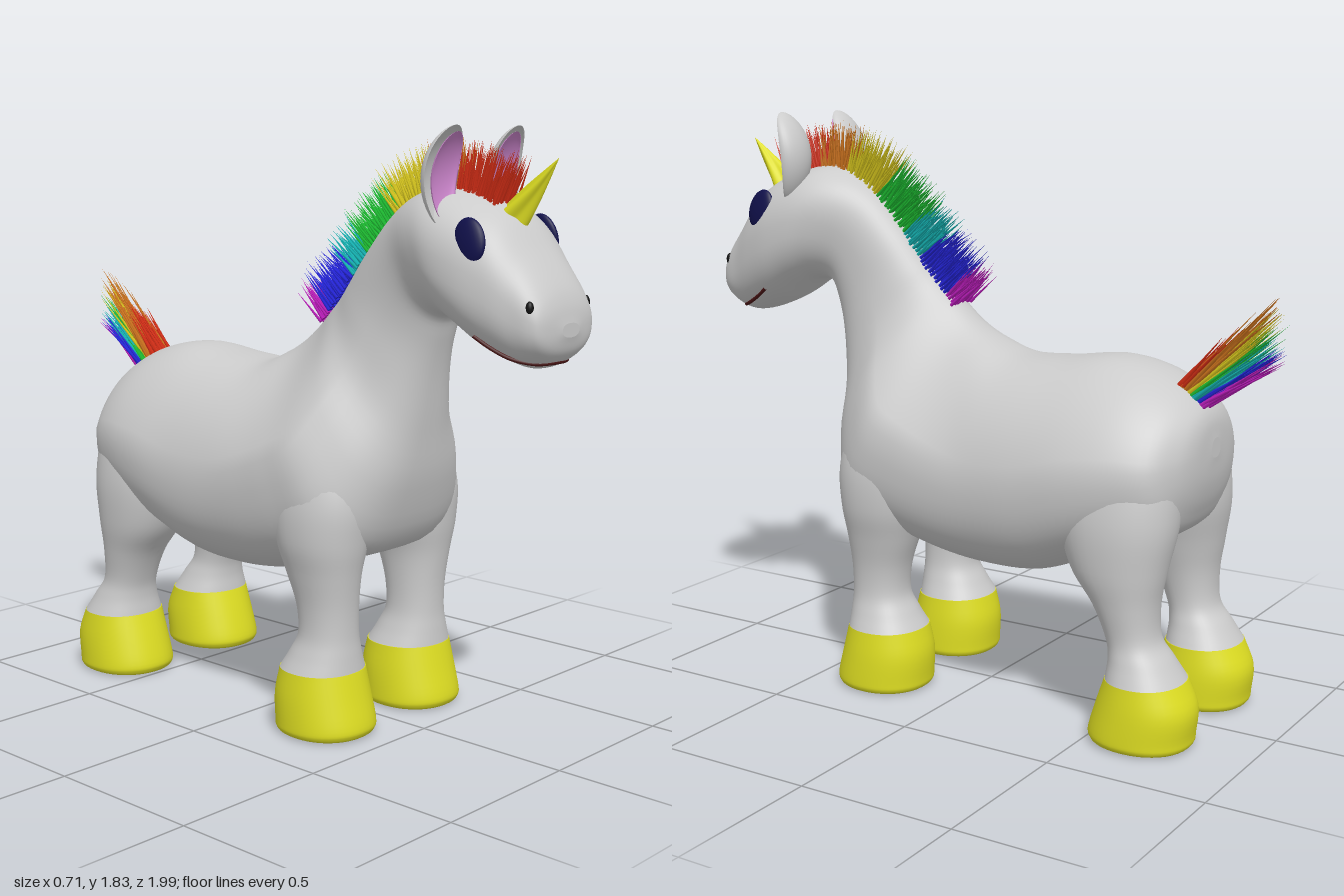
import * as THREE from 'three';
import { mergeGeometries } from 'three/addons/utils/BufferGeometryUtils.js';

const material = (color, side = THREE.FrontSide) => new THREE.MeshStandardMaterial({ color, side });
const grey = material(0xcccccc), yellow = material(0xdddd22), navy = material(0x10104a);
const black = material(0x111111), maroon = material(0x4a1515), pink = material(0xd088d0, THREE.DoubleSide);
const rainbow = [0xd02c14, 0xc8701c, 0xd0c01c, 0x1cb830, 0x14b0b0, 0x2424d8, 0xb81cb8].map((c) => material(c));

const mesh = (name, geometry, mat) => {
  const m = new THREE.Mesh(geometry, mat);
  m.name = name;
  return m;
};

let seed = 7;
const rand = () => (seed = (seed * 16807) % 2147483647) / 2147483647;
const jitter = (a) => (rand() * 2 - 1) * a;

// Smooth skin over oval sections: [z, y of one edge, z, y of the opposite edge, half width, centre x, pinch]
// Pinch narrows the first edge and squares off the opposite one.
function loft(sections, steps, exponent = 0.92, sides = 40) {
  const spline = (f) => new THREE.CatmullRomCurve3(sections.map(f), false, 'catmullrom', 0.5);
  const edgeA = spline((s) => new THREE.Vector3(0, s[1], s[0]));
  const edgeB = spline((s) => new THREE.Vector3(0, s[3], s[2]));
  const width = spline((s) => new THREE.Vector3(s[4], s[5] || 0, s[6] || 0));
  const bend = (v, e) => Math.sign(v) * Math.abs(v) ** e;
  const pos = [], index = [], rows = (sections.length - 1) * steps;
  for (let i = 0; i <= rows; i++) {
    const a = edgeA.getPoint(i / rows), b = edgeB.getPoint(i / rows), w = width.getPoint(i / rows);
    const c = a.clone().add(b).multiplyScalar(0.5), h = a.sub(c);
    for (let j = 0; j < sides; j++) {
      const t = (j / sides) * Math.PI * 2;
      const e = Math.cos(t) < 0 ? exponent - 0.4 * w.z : exponent;
      const k = bend(Math.cos(t), e);
      pos.push(w.y + w.x * bend(Math.sin(t), e) * (1 - w.z * Math.max(0, k)), c.y + h.y * k, c.z + h.z * k);
      if (i === rows) continue;
      const p = i * sides + j, q = i * sides + ((j + 1) % sides);
      index.push(p, p + sides, q, q, p + sides, q + sides);
    }
  }
  // end caps with their own rims, so the edges stay crisp
  for (const [row, s, flip] of [[0, sections[0], false], [rows, sections.at(-1), true]]) {
    const centre = pos.length / 3;
    pos.push(s[5] || 0, (s[1] + s[3]) / 2, (s[0] + s[2]) / 2);
    pos.push(...pos.slice(row * sides * 3, (row + 1) * sides * 3));
    for (let j = 0; j < sides; j++) {
      const p = centre + 1 + j, q = centre + 1 + ((j + 1) % sides);
      index.push(centre, flip ? q : p, flip ? p : q);
    }
  }
  const g = new THREE.BufferGeometry();
  g.setAttribute('position', new THREE.Float32BufferAttribute(pos, 3));
  g.setIndex(index);
  g.computeVertexNormals();
  return g;
}

// One hair: a thin spike from a base point along a direction
function hair(base, dir, length, radius) {
  const g = new THREE.ConeGeometry(radius, length, 5, 1);
  g.translate(0, length / 2, 0);
  g.applyQuaternion(new THREE.Quaternion().setFromUnitVectors(new THREE.Vector3(0, 1, 0), dir.normalize()));
  return g.translate(base.x, base.y, base.z);
}

// Cupped, forward-curling ear shape
function earGeometry(w, h, back, front) {
  const g = new THREE.SphereGeometry(1, 32, 24), p = g.attributes.position;
  for (let i = 0; i < p.count; i++) {
    const y = p.getY(i) * h, z = p.getZ(i);
    p.setXYZ(i, p.getX(i) * w * (1 + 0.8 * y), y, (z < 0 ? z * back : -z * front) + 1.8 * y * y);
  }
  g.computeVertexNormals();
  return g;
}

// Fluted, slightly twisted horn
function hornGeometry() {
  const g = new THREE.ConeGeometry(0.055, 0.24, 40, 16), p = g.attributes.position;
  for (let i = 0; i < p.count; i++) {
    const x = p.getX(i), y = p.getY(i), z = p.getZ(i), a = Math.atan2(z, x);
    const r = Math.hypot(x, z) * (0.92 + 0.14 * Math.cos(4 * a + y * 12));
    p.setXYZ(i, r * Math.cos(a), y, r * Math.sin(a));
  }
  g.computeVertexNormals();
  return g;
}

export function createModel() {
  const model = new THREE.Group();
  model.name = 'unicorn';

  // Torso, neck and head as one skin, from the rump to the muzzle
  model.add(mesh('body', loft([
    [-0.78, 0.9, -0.78, 0.84, 0.03, 0, 0.1], [-0.772, 0.96, -0.77, 0.76, 0.13, 0, 0.15],
    [-0.745, 1.005, -0.745, 0.68, 0.21, 0, 0.2], [-0.68, 1.055, -0.7, 0.61, 0.29, 0, 0.27],
    [-0.58, 1.1, -0.58, 0.565, 0.335, 0, 0.3], [-0.45, 1.12, -0.43, 0.505, 0.355, 0, 0.3],
    [-0.28, 1.1, -0.27, 0.44, 0.353, 0, 0.2], [-0.12, 1.095, -0.1, 0.428, 0.345, 0, 0.2],
    [-0.02, 1.135, 0.06, 0.452, 0.345, 0, 0.4], [0.04, 1.175, 0.24, 0.505, 0.345, 0, 0.56],
    [0.09, 1.22, 0.4, 0.57, 0.335, 0, 0.62], [0.13, 1.26, 0.475, 0.75, 0.265, 0, 0.54],
    [0.18, 1.31, 0.505, 0.93, 0.18, 0, 0.3], [0.23, 1.37, 0.53, 1.1, 0.147, 0, 0.1],
    [0.3, 1.46, 0.555, 1.21, 0.137], [0.4, 1.57, 0.58, 1.275, 0.147], [0.5, 1.635, 0.64, 1.28, 0.182],
    [0.6, 1.655, 0.7, 1.25, 0.209], [0.72, 1.63, 0.77, 1.205, 0.21], [0.82, 1.58, 0.85, 1.17, 0.19],
    [0.9, 1.485, 0.91, 1.157, 0.165], [0.962, 1.4, 0.955, 1.175, 0.146], [0.988, 1.345, 0.985, 1.205, 0.118],
    [1, 1.29, 1, 1.25, 0.04],
  ], 5, 0.85, 64), grey));

  // Legs and hooves
  const legs = {
    front: [[0.33, 0.95, 0.18, 0.95, 0.05, 0.19], [0.39, 0.84, 0.1, 0.84, 0.1, 0.205], [0.42, 0.72, 0.1, 0.72, 0.13, 0.206],
      [0.412, 0.6, 0.12, 0.6, 0.126, 0.21], [0.395, 0.5, 0.155, 0.5, 0.102, 0.212], [0.383, 0.4, 0.19, 0.4, 0.089, 0.207],
      [0.38, 0.31, 0.198, 0.31, 0.09, 0.205], [0.384, 0.25, 0.17, 0.25, 0.108, 0.205], [0.388, 0.2, 0.14, 0.2, 0.13, 0.205]],
    back: [[-0.48, 0.98, -0.6, 0.98, 0.06, 0.16], [-0.4, 0.84, -0.72, 0.84, 0.13, 0.168], [-0.375, 0.68, -0.742, 0.68, 0.152, 0.183],
      [-0.42, 0.53, -0.718, 0.53, 0.128, 0.202], [-0.5, 0.42, -0.7, 0.42, 0.102, 0.208], [-0.545, 0.32, -0.705, 0.32, 0.09, 0.207],
      [-0.555, 0.26, -0.745, 0.26, 0.105, 0.206], [-0.55, 0.2, -0.785, 0.2, 0.13, 0.205]],
  };
  const hoof = (top, mid, base) => [
    [...top, 0.131], [...mid, 0.142], [...base, 0.147], [base[0] - 0.003, 0.015, base[2] + 0.003, 0.015, 0.145],
    [base[0] - 0.018, 0.002, base[2] + 0.018, 0.002, 0.13], [base[0] - 0.06, 0, base[2] + 0.06, 0, 0.085],
  ].map((s) => [...s, 0.204]);
  const hooves = {
    front: hoof([0.39, 0.2, 0.138, 0.2], [0.41, 0.12, 0.12, 0.12], [0.43, 0.04, 0.123, 0.04]),
    back: hoof([-0.548, 0.2, -0.787, 0.2], [-0.52, 0.12, -0.822, 0.12], [-0.496, 0.04, -0.816, 0.04]),
  };
  for (const [side, label] of [[1, 'left'], [-1, 'right']]) {
    const mirror = (list) => list.map((s) => [...s.slice(0, 5), s[5] * side]);
    for (const end of ['front', 'back']) {
      model.add(mesh(`${label} ${end} leg`, loft(mirror(legs[end]), 5), grey));
      model.add(mesh(`${label} ${end} hoof`, loft(mirror(hooves[end]), 4), yellow));
    }

    // Ears
    const ear = new THREE.Group();
    ear.name = `${label} ear`;
    ear.add(mesh('ear shell', earGeometry(0.07, 0.145, 0.042, 0.02), grey));
    const inner = mesh('inner ear', earGeometry(0.057, 0.13, 0.02, 0.02), pink);
    inner.position.set(-0.011 * side, -0.002, 0.008);
    ear.add(inner);
    ear.position.set(0.151 * side, 1.685, 0.655);
    ear.rotation.set(0.1, 0, 0.05 * side);
    model.add(ear);

    // Eyes and nostrils
    const ball = new THREE.SphereGeometry(1, 24, 16);
    const eye = mesh(`${label} eye`, ball, navy);
    eye.position.set(0.176 * side, 1.512, 0.78);
    eye.scale.set(0.018, 0.066, 0.049);
    eye.rotation.set(-0.3, -0.14 * side, 0.12 * side);
    const nostril = mesh(`${label} nostril`, ball, black);
    nostril.position.set(0.134 * side, 1.335, 0.955);
    nostril.scale.set(0.012, 0.02, 0.012);
    model.add(eye, nostril);
  }

  // Mouth line wrapped round the muzzle
  const half = [[0.158, 1.25, 0.785], [0.143, 1.22, 0.83], [0.121, 1.192, 0.885], [0.08, 1.178, 0.935]];
  const lips = [...half, [0, 1.177, 0.957], ...half.map(([x, y, z]) => [-x, y, z]).reverse()];
  const lipCurve = new THREE.CatmullRomCurve3(lips.map((p) => new THREE.Vector3(...p)));
  model.add(mesh('mouth', new THREE.TubeGeometry(lipCurve, 48, 0.006, 8), maroon));

  // Horn
  const horn = mesh('horn', hornGeometry(), yellow);
  horn.position.set(0, 1.645, 0.868);
  horn.rotation.x = 0.71;
  model.add(horn);

  // Mane: rows of hairs along the crest, one colour per stretch
  const crest = new THREE.CatmullRomCurve3([
    [0.77, 1.6], [0.7, 1.63], [0.6, 1.645], [0.5, 1.625], [0.4, 1.56], [0.3, 1.45], [0.2, 1.33], [0.11, 1.23],
  ].map(([z, y]) => new THREE.Vector3(0, y, z)));
  const bands = [0, 0.18, 0.3, 0.46, 0.65, 0.76, 0.94, 1];
  rainbow.forEach((mat, i) => {
    const hairs = [], rows = Math.round((bands[i + 1] - bands[i]) * 60);
    for (let r = 0; r < rows; r++) {
      const u = bands[i] + ((r + 0.5) / rows) * (bands[i + 1] - bands[i]);
      const p = crest.getPointAt(u), t = crest.getTangentAt(u);
      for (let c = -4; c <= 4; c++) {
        const x = c * 0.0125 + jitter(0.004);
        const dir = new THREE.Vector3(jitter(0.08), -t.z + jitter(0.12), t.y + jitter(0.12));
        const base = new THREE.Vector3(x, p.y - 1.5 * x * x, p.z + jitter(0.005));
        hairs.push(hair(base, dir, 0.11 + rand() * 0.05, 0.0055));
      }
    }
    model.add(mesh(`mane part ${i + 1}`, mergeGeometries(hairs), mat));
  });

  // Tail: a fan of longer hairs gathering to a point, coloured from top to bottom
  rainbow.forEach((mat, i) => {
    const hairs = [], k = i / 6;
    for (let n = 0; n < 24; n++) {
      const angle = 0.82 - 0.24 * k + jitter(0.07);
      const x = jitter(0.045);
      const base = new THREE.Vector3(x, 1.045 - 0.055 * k + jitter(0.008), -0.68 - 0.055 * k + jitter(0.01));
      const dir = new THREE.Vector3(-1.5 * x + jitter(0.08), Math.sin(angle), -Math.cos(angle));
      const reach = i === 0 ? 0.2 : 0.37 - 0.12 * k;
      hairs.push(hair(base, dir, reach + rand() * 0.06 - Math.abs(x), 0.0085));
    }
    model.add(mesh(`tail part ${i + 1}`, mergeGeometries(hairs), mat));
  });

  return model;
}
